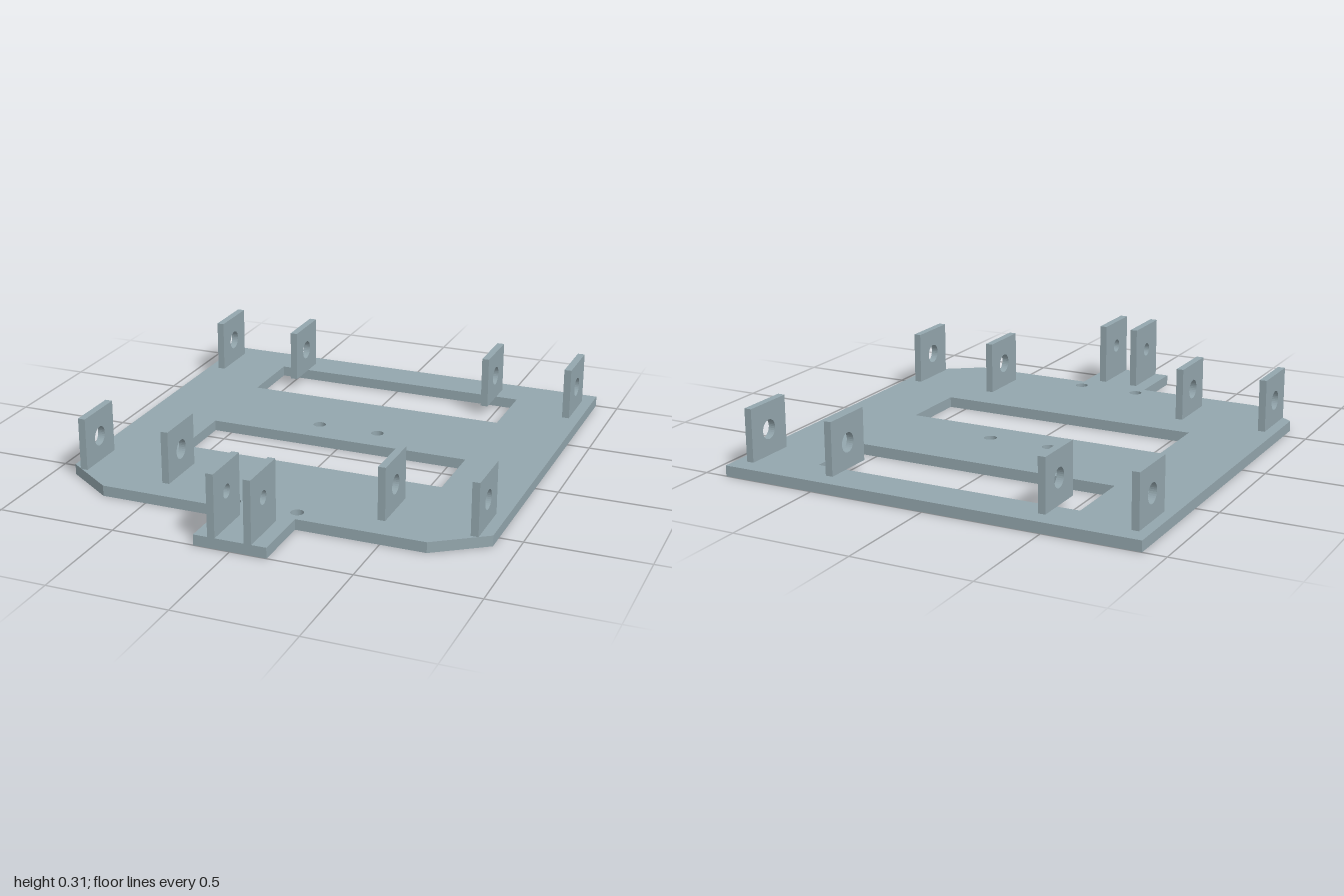
import * as THREE from 'three';

const PLATE_T = 0.045;
const LUG_T = 0.031;

function polygon(points) {
  return new THREE.Shape(points.map(([a, b]) => new THREE.Vector2(a, b)));
}

function addHole(shape, x, y, r) {
  shape.holes.push(new THREE.Path().absarc(x, y, r, 0, Math.PI * 2, true));
}

function extrude(shape, depth) {
  return new THREE.ExtrudeGeometry(shape, { depth, bevelEnabled: false, curveSegments: 16 });
}

// Flat base plate with chamfered front corners, front tongue, windows and screw holes
function plateGeometry() {
  const half = [[0.903, -1], [0.903, 0.579], [0.69, 0.729], [0.152, 0.729], [0.152, 1]];
  const mirrored = half.map(([x, z]) => [-x, z]).reverse();
  const shape = polygon([...half, ...mirrored]);
  const w = 0.577;
  for (const [z0, z1] of [[-0.827, -0.521], [-0.077, 0.228]]) {
    shape.holes.push(polygon([[-w, z0], [-w, z1], [w, z1], [w, z0]]));
  }
  for (const z of [-0.21, 0.669]) {
    for (const x of [-0.135, 0.135]) addHole(shape, x, z, 0.027);
  }
  return extrude(shape, PLATE_T).rotateX(Math.PI / 2).translate(0, PLATE_T, 0);
}

// Upright square lug, profile in (z, y), centred on its thickness in x
function lugGeometry(z0, z1, top, holeY, holeR) {
  const shape = polygon([[z0, PLATE_T], [z1, PLATE_T], [z1, top], [z0, top]]);
  addHole(shape, (z0 + z1) / 2, holeY, holeR);
  return extrude(shape, LUG_T).translate(0, 0, -LUG_T / 2).rotateY(-Math.PI / 2);
}

export function createModel() {
  const group = new THREE.Group();
  const material = new THREE.MeshStandardMaterial({ color: 0x93a6ad });

  const add = (name, geometry, x = 0) => {
    const mesh = new THREE.Mesh(geometry, material);
    mesh.name = name;
    mesh.position.x = x;
    group.add(mesh);
  };

  add('basePlate', plateGeometry());

  // Two rows of four axle lugs
  const backLug = lugGeometry(-0.923, -0.693, 0.268, 0.153, 0.041);
  const frontLug = lugGeometry(0.385, 0.614, 0.268, 0.153, 0.041);
  for (const x of [-0.842, -0.466, 0.464, 0.84]) {
    add('backAxleLug', backLug, x);
    add('frontAxleLug', frontLug, x);
  }

  // Pair of taller lugs on the tongue
  const tongueLug = lugGeometry(0.771, 1, 0.307, 0.192, 0.029);
  for (const x of [-0.077, 0.075]) add('tongueLug', tongueLug, x);

  return group;
}
